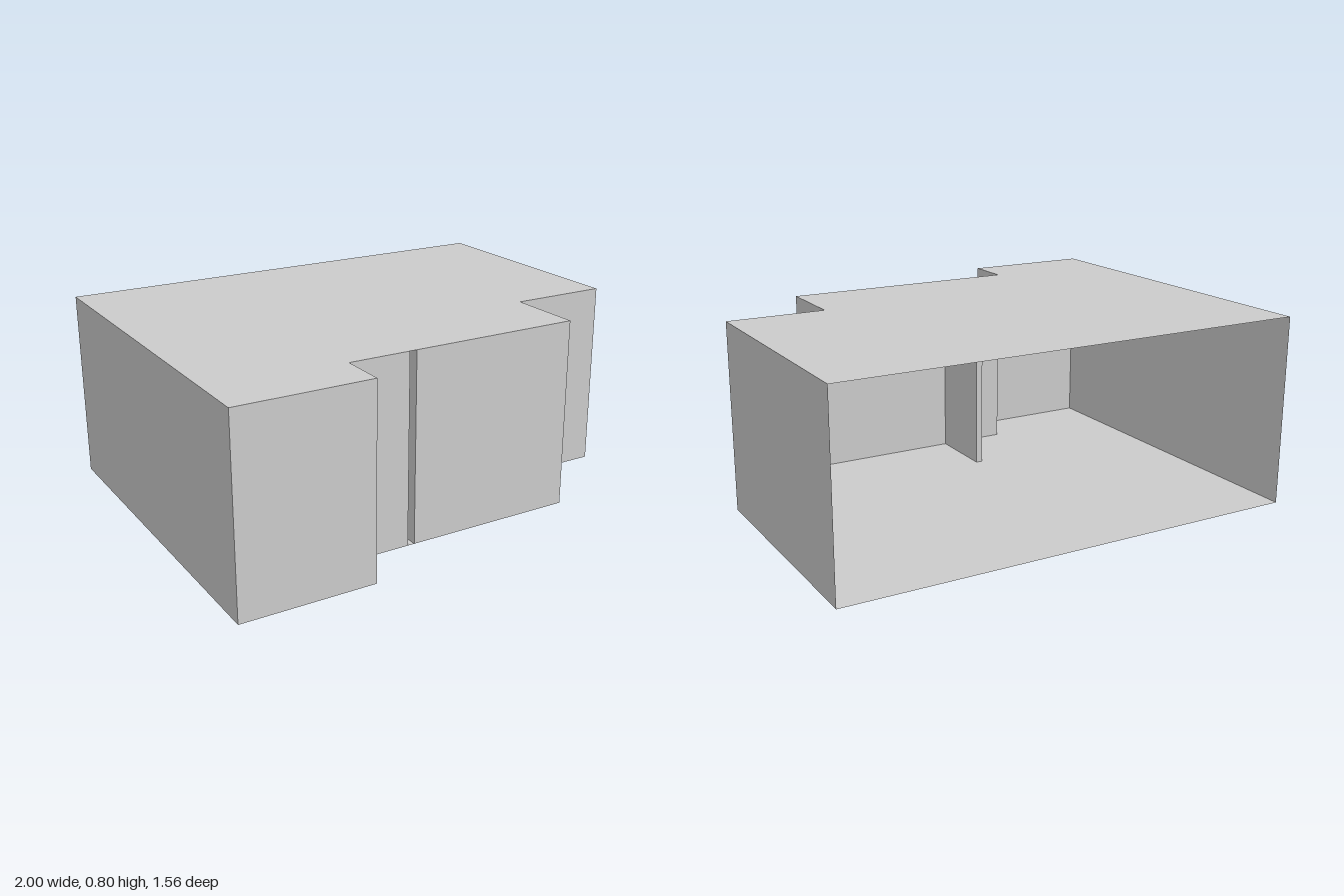
import * as THREE from 'three';

export function createModel() {
  const group = new THREE.Group();
  const material = new THREE.MeshStandardMaterial({
    color: 0xcccccc, flatShading: true, side: THREE.DoubleSide,
  });
  const height = 0.8;

  const add = (name, geometry) => {
    const mesh = new THREE.Mesh(geometry, material);
    mesh.name = name;
    group.add(mesh);
    return mesh;
  };

  // Stepped floor plan as [x, z], open along the back
  const plan = [
    [-1, -0.78], [-1, 0.78], [-0.44, 0.78], [-0.44, 0.585],
    [0.58, 0.585], [0.58, 0.26], [1, 0.26], [1, -0.78],
  ];
  // Narrow deep slot in the front wall, under the roof
  const slot = [[-0.18, 0.585], [-0.18, 0.28], [-0.15, 0.28], [-0.15, 0.585]];

  // Floor and roof sheets
  const slab = (name, y) => {
    const shape = new THREE.Shape(plan.map(([x, z]) => new THREE.Vector2(x, z)));
    add(name, new THREE.ShapeGeometry(shape).rotateX(Math.PI / 2)).position.y = y;
  };
  slab('floor', 0);
  slab('roof', height);

  // Thin upright walls along the plan, facing outward
  const path = [...plan.slice(0, 4), ...slot, ...plan.slice(4)];
  const names = [
    'rightWall', 'frontBayWall', 'frontBayReturn', 'middleWallRight',
    'slotSideRight', 'slotEnd', 'slotSideLeft', 'middleWallLeft',
    'recessReturn', 'recessWall', 'leftWall',
  ];
  names.forEach((name, i) => {
    const [x0, z0] = path[i];
    const [x1, z1] = path[i + 1];
    const wall = add(name, new THREE.PlaneGeometry(Math.hypot(x1 - x0, z1 - z0), height));
    wall.rotation.y = Math.atan2(z0 - z1, x1 - x0);
    wall.position.set((x0 + x1) / 2, height / 2, (z0 + z1) / 2);
  });

  return group;
}
